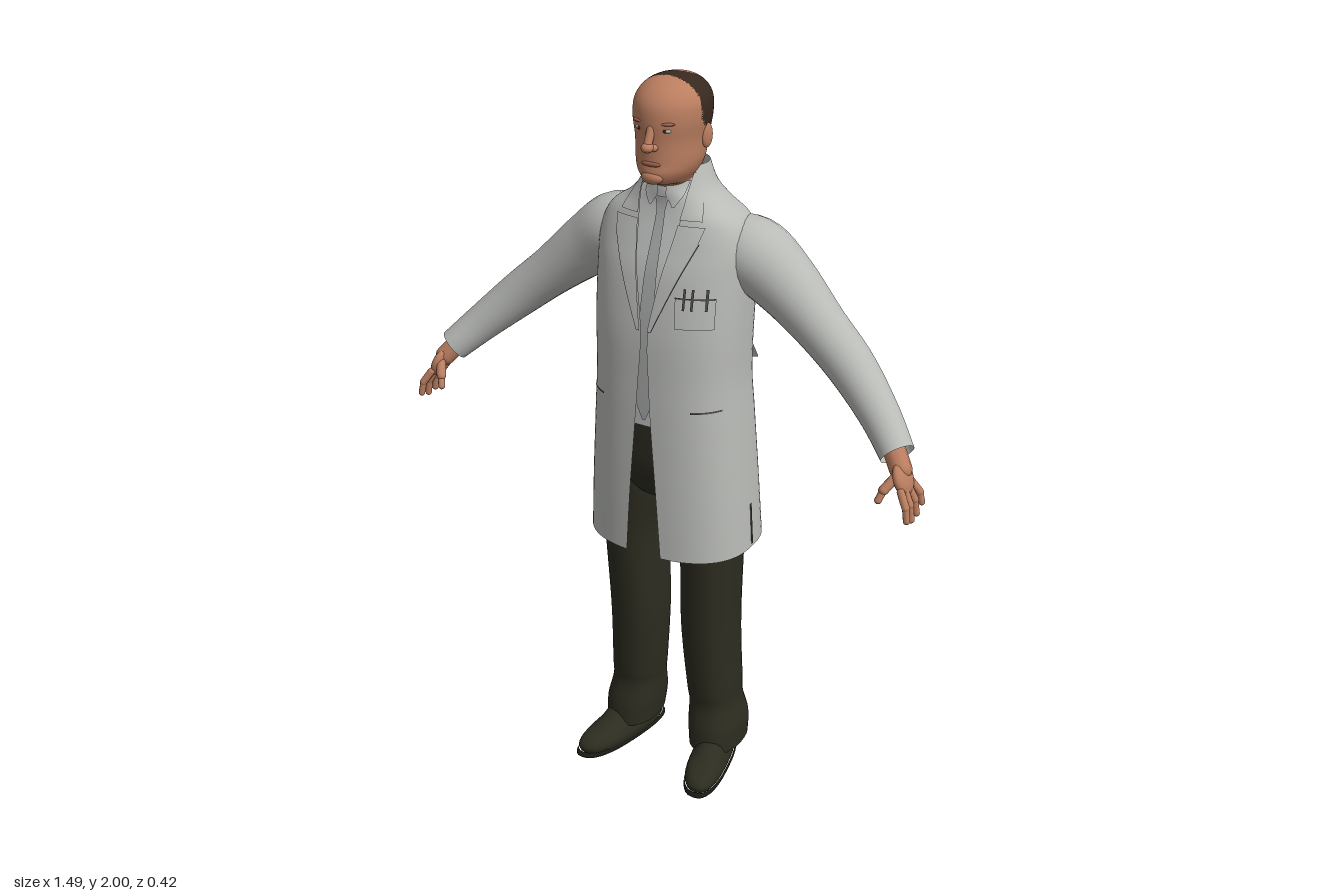
import * as THREE from 'three';
import { mergeVertices } from 'three/addons/utils/BufferGeometryUtils.js';

const mat = (name, color, side = THREE.FrontSide) => {
  const m = new THREE.MeshStandardMaterial({ color, side });
  m.name = name;
  return m;
};

// Smooth surface from a function of (u, v), both 0..1
function grid(fn, cols, rows) {
  const pos = [], idx = [];
  for (let r = 0; r <= rows; r++)
    for (let c = 0; c <= cols; c++) pos.push(...fn(c / cols, r / rows));
  for (let r = 0; r < rows; r++)
    for (let c = 0; c < cols; c++) {
      const a = r * (cols + 1) + c, b = a + 1, d = a + cols + 1, e = d + 1;
      idx.push(a, b, e, a, e, d);
    }
  let g = new THREE.BufferGeometry();
  g.setAttribute('position', new THREE.Float32BufferAttribute(pos, 3));
  g.setIndex(idx);
  g = mergeVertices(g, 1e-5);
  g.computeVertexNormals();
  return g;
}

// Catmull-Rom blend of number rows of equal length
function blend(rows, t) {
  const n = rows.length - 1, f = Math.min(t, 1) * n, i = Math.min(Math.floor(f), n - 1), k = f - i;
  const at = j => rows[Math.max(0, Math.min(n, j))];
  return rows[i].map((p1, c) => {
    const p0 = at(i - 1)[c], p2 = at(i + 1)[c], p3 = at(i + 2)[c];
    return p1 + 0.5 * k * (p2 - p0 + k * (2 * p0 - 5 * p1 + 4 * p2 - p3 + k * (3 * (p1 - p2) + p3 - p0)));
  });
}

// Stack of rounded sections [y, centreX, halfWidth, zFront, zBack, roundness, frontGap]
function loft(sections, cols = 32, rows = 40, shear = 0) {
  const full = sections.map(([y, cx, rx, zf, zb, p = 1, gap = 0]) => [y, cx, rx, zf, zb, p, gap]);
  return grid((u, v) => {
    const [y, cx, rx, zf, zb, p, gap] = blend(full, v);
    const g = gap > 0 ? Math.asin(Math.pow(Math.min(gap / rx, 0.98), 1 / p)) : 0;
    const a = g + u * (Math.PI * 2 - 2 * g);
    const pw = w => Math.abs(w) < 1e-9 ? 0 : Math.sign(w) * Math.pow(Math.abs(w), p);
    const z = (zf + zb) / 2 + (zf - zb) / 2 * pw(Math.cos(a));
    return [cx + rx * pw(Math.sin(a)) + shear * z, Math.max(0, y), z];
  }, cols, rows);
}

// Section of a loft at a given height
function sectionAt(sections, y) {
  let lo = 0, hi = 1;
  for (let i = 0; i < 30; i++) {
    const m = (lo + hi) / 2;
    if (blend(sections, m)[0] < y) lo = m; else hi = m;
  }
  return blend(sections, lo);
}

// Thin plate lying on the front of a loft, rows of [y, x0, x1] going up
function patch(sections, rows, side, lift) {
  return grid((u, v) => {
    const f = v * (rows.length - 1), i = Math.min(Math.floor(f), rows.length - 2);
    const [y, x0, x1] = rows[i].map((a, c) => a + (rows[i + 1][c] - a) * (f - i));
    const x = side > 0 ? x0 + (x1 - x0) * u : -(x1 + (x0 - x1) * u);
    const [, , rx, zf, zb, p] = sectionAt(sections, y);
    const k = Math.pow(Math.min(Math.abs(x) / rx, 1), 2 / p);
    return [x, y, (zf + zb) / 2 + (zf - zb) / 2 * Math.pow(1 - k, p / 2) + lift];
  }, 8, 24);
}

// Tube along rows of [x, y, z, radius]
function sweep(rows, cols = 24, steps = 32) {
  return grid((u, v) => {
    const c = blend(rows, v), q = blend(rows, Math.min(1, v + 0.01)), o = blend(rows, Math.max(0, v - 0.01));
    const t = new THREE.Vector3(q[0] - o[0], q[1] - o[1], q[2] - o[2]).normalize();
    const n = new THREE.Vector3(0, 0, 1).addScaledVector(t, -t.z).normalize();
    const b = t.clone().cross(n), a = u * Math.PI * 2;
    return [0, 1, 2].map(i => c[i] + c[3] * (Math.cos(a) * n.getComponent(i) + Math.sin(a) * b.getComponent(i)));
  }, cols, steps);
}

const COAT = [
  [0.72, 0, 0.235, 0.165, -0.205, 0.8, 0.052], [0.9, 0, 0.225, 0.165, -0.192, 0.8, 0.04],
  [1.1, 0, 0.212, 0.162, -0.178, 0.8, 0.024], [1.22, 0, 0.205, 0.158, -0.168, 0.8, 0.016],
  [1.36, 0, 0.208, 0.15, -0.165, 0.8, 0.01], [1.5, 0, 0.212, 0.125, -0.167, 0.8, 0.034],
  [1.58, 0, 0.212, 0.098, -0.157, 0.8, 0.05], [1.64, 0, 0.19, 0.076, -0.145, 0.82, 0.058],
  [1.68, 0, 0.137, 0.066, -0.135, 0.9, 0.064], [1.72, 0, 0.1, 0.06, -0.122, 1, 0.068],
  [1.775, 0, 0.078, 0.035, -0.103, 1, 0.068]];
const SHIRT = [...COAT.slice(2, 9).map(([y, , rx, zf, zb, p]) => [y, 0, rx * 0.92, zf - 0.012, zb + 0.02, p]),
  [1.715, 0, 0.077, 0.053, -0.1, 1], [1.745, 0, 0.067, 0.048, -0.096, 1]];
const HEAD = [
  [1.66, 0, 0.058, 0.03, -0.088], [1.71, 0, 0.06, 0.04, -0.09], [1.735, 0, 0.058, 0.07, -0.09],
  [1.745, 0, 0.058, 0.104, -0.088], [1.77, 0, 0.073, 0.117, -0.086], [1.8, 0, 0.083, 0.114, -0.09],
  [1.85, 0, 0.087, 0.113, -0.104], [1.9, 0, 0.095, 0.115, -0.111], [1.94, 0, 0.093, 0.108, -0.11],
  [1.97, 0, 0.076, 0.085, -0.093], [1.99, 0, 0.045, 0.05, -0.06], [2, 0, 0.001, 0.0, -0.002]];

export function createModel() {
  const root = new THREE.Group();
  const cloth = mat('coat grey', 0xb9bbb7, THREE.DoubleSide);
  const shirtMat = mat('shirt grey', 0xbcbebc, THREE.DoubleSide);
  const tieMat = mat('tie grey', 0xa6a8a7, THREE.DoubleSide);
  const skin = mat('skin', 0xbb7e60);
  const lipMat = mat('lips', 0x9c5f4a);
  const hair = mat('hair brown', 0x38291f);
  const trouserMat = mat('trouser olive black', 0x2c2c20, THREE.DoubleSide);
  const sole = mat('sole black', 0x1b1b15);
  const dark = mat('dark trim', 0x4a4b49, THREE.DoubleSide);
  const eyeMat = mat('eye white', 0xb9b3ab);

  const add = (name, geo, m) => {
    const mesh = new THREE.Mesh(geo, m);
    mesh.name = name;
    root.add(mesh);
    return mesh;
  };
  const blob = (name, m, x, y, z, sx, sy, sz) => {
    const b = add(name, new THREE.SphereGeometry(1, 20, 14), m);
    b.position.set(x, y, z);
    b.scale.set(sx, sy, sz);
    return b;
  };
  const bone = (name, a, b, r) => {
    const p = new THREE.Vector3(...a), d = new THREE.Vector3(...b).sub(p);
    const m = add(name, new THREE.CapsuleGeometry(r, d.length(), 5, 10), skin);
    m.position.copy(p).addScaledVector(d, 0.5);
    m.quaternion.setFromUnitVectors(new THREE.Vector3(0, 1, 0), d.normalize());
  };

  // Head: faces sorted into skin and a receding crown of hair with a bald spot
  const hg = loft(HEAD, 80, 88), P = hg.attributes.position, ix = hg.index.array, sets = [[], []];
  for (let i = 0; i < ix.length; i += 3) {
    const [x, y, z] = ['getX', 'getY', 'getZ'].map(k => (P[k](ix[i]) + P[k](ix[i + 1]) + P[k](ix[i + 2])) / 3);
    const edge = y > 1.9 ? 0.024 : 0.024 - (1.9 - y) * 0.9;
    const spot = y > 1.93 && (x / 0.045) ** 2 + ((z + 0.072) / 0.042) ** 2 < 1;
    sets[y > 1.79 && z < edge && !spot ? 1 : 0].push(ix[i], ix[i + 1], ix[i + 2]);
  }
  hg.setIndex([...sets[0], ...sets[1]]);
  hg.addGroup(0, sets[0].length, 0);
  hg.addGroup(sets[0].length, sets[1].length, 1);
  add('head', hg, [skin, hair]);

  // Face
  bone('noseBridge', [0, 1.885, 0.108], [0, 1.848, 0.126], 0.011);
  blob('noseTip', skin, 0, 1.842, 0.127, 0.016, 0.013, 0.018);
  blob('mouth', lipMat, 0, 1.797, 0.111, 0.027, 0.007, 0.007);
  blob('chin', skin, 0, 1.762, 0.105, 0.03, 0.018, 0.018);
  for (const s of [-1, 1]) {
    blob('nostril', skin, s * 0.012, 1.84, 0.116, 0.009, 0.009, 0.012);
    blob('eye', eyeMat, s * 0.036, 1.882, 0.099, 0.014, 0.006, 0.008);
    blob('iris', hair, s * 0.036, 1.882, 0.105, 0.005, 0.005, 0.004);
    blob('brow', lipMat, s * 0.038, 1.899, 0.1, 0.021, 0.005, 0.009).rotation.y = s * 0.3;
    blob('ear', skin, s * 0.09, 1.853, -0.008, 0.009, 0.032, 0.018).rotation.y = s * -0.3;
  }

  // Shirt and tie
  add('shirt', loft(SHIRT, 40, 40), shirtMat);
  for (const s of [-1, 1])
    add('shirtCollar', patch(SHIRT, [[1.675, 0.03, 0.036], [1.705, 0.012, 0.055], [1.74, 0.012, 0.06]], s, 0.008), shirtMat);
  add('tie', patch(SHIRT, [[1.12, -0.004, 0.004], [1.17, -0.026, 0.026], [1.5, -0.018, 0.018], [1.665, -0.012, 0.012],
    [1.7, -0.019, 0.019]], 1, 0.007), tieMat);

  // Coat body, back belt and front details
  add('coat', loft(COAT, 72, 64), cloth);
  add('backBelt', grid((u, v) => {
    const a = (u - 0.5) * 2.2, y = 1.215 + 0.05 * Math.pow(Math.abs(u - 0.5) * 2, 2) + (v - 0.5) * 0.035;
    const out = 1 + 0.07 * (1 - v), pw = w => Math.sign(w) * Math.pow(Math.abs(w), 0.8);
    return [-0.205 * out * pw(Math.sin(a)), y, -0.005 - 0.166 * out * pw(Math.cos(a))];
  }, 40, 3), cloth);
  for (const s of [-1, 1]) {
    add('lapel', patch(COAT, [[1.37, 0.011, 0.02], [1.5, 0.033, 0.075], [1.6, 0.052, 0.118], [1.64, 0.058, 0.128]], s, 0.007), cloth);
    add('coatCollar', patch(COAT, [[1.652, 0.06, 0.118], [1.69, 0.065, 0.105], [1.76, 0.068, 0.08]], s, 0.006), cloth);
    add('lapelEdge', patch(COAT, [[1.37, 0.018, 0.022], [1.5, 0.073, 0.078], [1.6, 0.117, 0.121]], s, 0.005), dark);
    add('hipPocketSlit', patch(COAT, [[1.16, 0.13, 0.192], [1.165, 0.13, 0.192]], s, 0.004), dark);
    const slit = add('sideSlit', new THREE.BoxGeometry(0.004, 0.12, 0.006), dark);
    slit.position.set(s * 0.231, 0.79, -0.02);
    slit.rotation.z = s * 0.06;
  }
  add('chestPocket', patch(COAT, [[1.39, 0.085, 0.175], [1.47, 0.08, 0.175]], 1, 0.006), cloth);
  add('chestPocketEdge', patch(COAT, [[1.467, 0.08, 0.175], [1.471, 0.08, 0.175]], 1, 0.009), dark);
  for (const x of [0.105, 0.125, 0.158])
    add('pen', patch(COAT, [[1.44, x - 0.003, x + 0.003], [1.495, x - 0.003, x + 0.003]], 1, 0.01), dark);

  // Trouser seat
  add('trouserSeat', loft([[0.84, 0, 0.01, 0.01, -0.01], [0.87, 0, 0.12, 0.1, -0.11], [0.95, 0, 0.185, 0.135, -0.14, 0.9],
    [1.05, 0, 0.185, 0.142, -0.14, 0.85], [1.13, 0, 0.18, 0.142, -0.14, 0.85]], 36, 20), trouserMat);

  for (const s of [-1, 1]) {
    // Legs and shoes
    add('trouserLeg', loft([[0.95, 0.1, 0.09, 0.12, -0.12], [0.85, 0.108, 0.092, 0.112, -0.118], [0.7, 0.119, 0.078, 0.1, -0.112],
      [0.45, 0.115, 0.076, 0.082, -0.11], [0.25, 0.124, 0.072, 0.066, -0.112], [0.19, 0.128, 0.07, 0.06, -0.113],
      [0.12, 0.136, 0.077, 0.075, -0.128], [0.055, 0.14, 0.074, 0.08, -0.122]].reverse()
      .map(([y, x, ...r]) => [y, s * x, ...r, 0.85]), 32, 40), trouserMat);
    add('shoe', loft([[0.012, s * 0.142, 0.053, 0.2, -0.108, 0.8], [0.03, s * 0.142, 0.056, 0.204, -0.11, 0.8],
      [0.05, s * 0.142, 0.05, 0.185, -0.105, 0.85], [0.068, s * 0.142, 0.045, 0.12, -0.1, 0.9],
      [0.11, s * 0.142, 0.04, 0.05, -0.09]], 32, 20, s * 0.2), trouserMat);
    add('shoeSole', loft([[0, s * 0.142, 0.002, 0.05, 0.04, 0.8], [0, s * 0.142, 0.054, 0.202, -0.11, 0.8],
      [0.016, s * 0.142, 0.056, 0.205, -0.111, 0.8]], 32, 8, s * 0.2), sole);

    // Sleeve
    add('sleeve', sweep([[0.12, 1.555, -0.05, 0.085], [0.2, 1.545, -0.06, 0.098], [0.29, 1.485, -0.06, 0.086],
      [0.4, 1.395, -0.045, 0.069], [0.5, 1.312, -0.025, 0.062], [0.6, 1.222, 0.018, 0.052],
      [0.672, 1.152, 0.065, 0.045]].map(([x, ...r]) => [s * x, ...r])), cloth);

    // Hand with four fingers and a thumb
    const at = (x, y, z) => [s * x, y, z];
    bone('wrist', at(0.645, 1.18, 0.048), at(0.69, 1.125, 0.083), 0.029);
    const palm = blob('palm', skin, s * 0.701, 1.105, 0.09, 0.019, 0.045, 0.042);
    palm.rotation.z = s * 0.4;
    [0.06, 0.083, 0.106, 0.127].forEach((z, i) => {
      const spread = z + (i - 1.2) * 0.007, drop = [0.02, 0.004, 0, 0.01][i];
      bone('fingerBase', at(0.712, 1.085, z), at(0.732, 1.048 + drop * 0.5, spread), 0.0105);
      bone('fingerTip', at(0.732, 1.048 + drop * 0.5, spread), at(0.738, 1.01 + drop, spread + (i - 1.2) * 0.002), 0.009);
    });
    bone('thumbBase', at(0.69, 1.115, 0.108), at(0.67, 1.085, 0.136), 0.013);
    bone('thumbTip', at(0.67, 1.085, 0.136), at(0.662, 1.06, 0.148), 0.0095);
  }
  return root;
}
